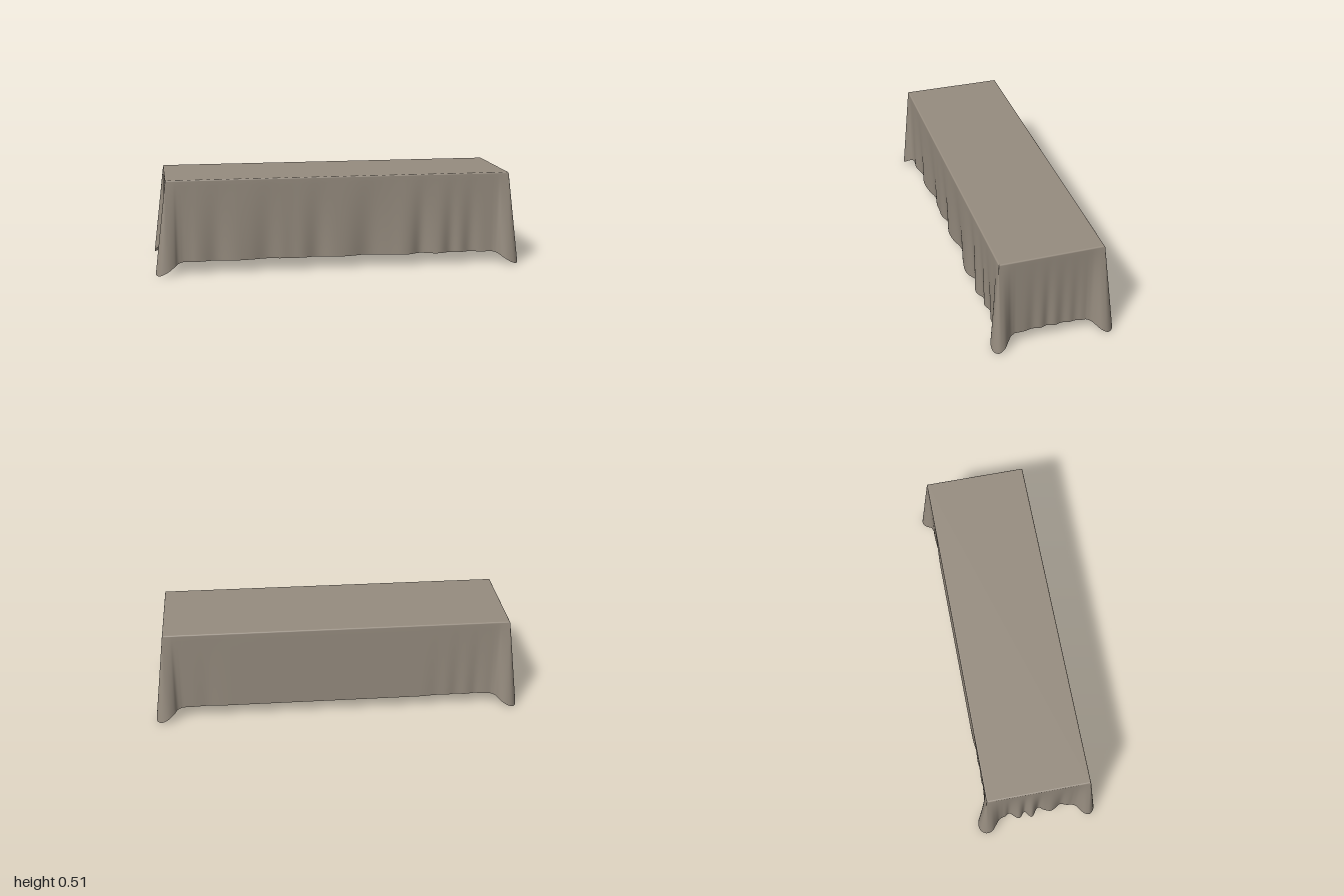
import * as THREE from 'three';

const X = 0.94, ZF = 0.283, ZB = -0.272; // table top edges
const TOP = 0.51, HEM = 0.066, GAP = 0.085, BEVEL = 0.007;

// Hem of one corner drape: outward offsets from the table corner and height
const lobe = new THREE.CatmullRomCurve3([
  [-0.085, HEM, 0], [-0.058, 0.058, 0.01], [-0.04, 0.046, 0.034], [-0.005, 0.022, 0.054],
  [0.035, 0.003, 0.05], [0.059, 0.003, 0.02], [0.056, 0.022, -0.015],
  [0.03, 0.044, -0.042], [0.009, 0.058, -0.062], [0, HEM, -0.085],
].map((p) => new THREE.Vector3(...p)));

// Folds of each side as [centre, width, outward depth at the hem]
const folds = {
  front: [[-0.78, 0.05, 0.006], [-0.68, 0.05, -0.014], [-0.57, 0.05, 0.004], [-0.4, 0.07, -0.022],
    [-0.27, 0.05, -0.008], [-0.13, 0.06, -0.024], [0.15, 0.08, -0.028], [0.35, 0.06, 0.01],
    [0.45, 0.04, -0.024], [0.55, 0.04, 0.007], [0.62, 0.035, -0.018], [0.73, 0.04, -0.02]],
  right: [[0.1, 0.03, -0.01], [0.02, 0.025, -0.014], [-0.06, 0.03, -0.012], [-0.13, 0.025, -0.008]],
  back: [[-0.55, 0.05, -0.008], [-0.66, 0.04, -0.012], [-0.77, 0.04, -0.012], [0.72, 0.05, -0.006]],
  left: [[-0.15, 0.02, -0.014], [-0.1, 0.025, 0.022], [-0.065, 0.016, -0.012], [-0.03, 0.022, 0.028],
    [0.015, 0.02, -0.018], [0.08, 0.03, 0.014], [0.14, 0.025, -0.014]],
};

// Each entry pairs a point on the table edge with its straight hem point and fold push
function hemLoop() {
  const loop = [];
  const side = (list, from, to, count, place) => {
    for (let i = 1; i < count; i++) {
      const s = THREE.MathUtils.lerp(from, to, i / count);
      const push = list.reduce((sum, [c, w, d]) => sum + d * Math.exp(-(((s - c) / w) ** 2)), 0);
      const fade = Math.min(1, i / 6, (count - i) / 6);
      const { x, z, nx, nz } = place(s);
      loop.push({ x, z, hx: x, hz: z, hy: HEM, px: nx * push * fade, pz: nz * push * fade });
    }
  };
  const corner = (sx, sz, reverse) => {
    const cx = sx * X, cz = sz > 0 ? ZF : ZB;
    for (let i = 0; i <= 36; i++) {
      const p = lobe.getPoint(reverse ? 1 - i / 36 : i / 36);
      const outZ = p.z > 0 && sz > 0 ? p.z * 0.78 : p.z;
      const hx = cx + sx * p.x, hz = cz + sz * outZ;
      loop.push({
        x: THREE.MathUtils.clamp(hx, -X, X), z: THREE.MathUtils.clamp(hz, ZB, ZF),
        hx, hz, hy: Math.max(0, p.y), px: 0, pz: 0,
      });
    }
  };
  side(folds.front, -X + GAP, X - GAP, 160, (s) => ({ x: s, z: ZF, nx: 0, nz: 1 }));
  corner(1, 1, false);
  side(folds.right, ZF - GAP, ZB + GAP, 60, (s) => ({ x: X, z: s, nx: 1, nz: 0 }));
  corner(1, -1, true);
  side(folds.back, X - GAP, -X + GAP, 120, (s) => ({ x: s, z: ZB, nx: 0, nz: -1 }));
  corner(-1, -1, false);
  side(folds.left, ZB + GAP, ZF - GAP, 80, (s) => ({ x: -X, z: s, nx: -1, nz: 0 }));
  corner(-1, 1, true);
  return loop;
}

// Loft from the rounded table edge down to the hem
function skirtGeometry() {
  const loop = hemLoop(), n = loop.length, pos = [], index = [];
  const insetX = (X - BEVEL) / X, midZ = (ZF + ZB) / 2, halfZ = (ZF - ZB) / 2;
  const insetZ = (halfZ - BEVEL) / halfZ;
  const bevelRows = 4, dropRows = 18, rows = bevelRows + dropRows;
  for (let r = 0; r <= rows; r++) {
    for (const p of loop) {
      if (r < bevelRows) {
        const a = (r / bevelRows) * Math.PI / 2, k = Math.sin(a);
        pos.push(p.x * THREE.MathUtils.lerp(insetX, 1, k),
          TOP - BEVEL * (1 - Math.cos(a)),
          midZ + (p.z - midZ) * THREE.MathUtils.lerp(insetZ, 1, k));
      } else {
        const t = (r - bevelRows) / dropRows, w = t ** 1.3;
        pos.push(THREE.MathUtils.lerp(p.x, p.hx, t) + p.px * w,
          THREE.MathUtils.lerp(TOP - BEVEL, p.hy, t),
          THREE.MathUtils.lerp(p.z, p.hz, t) + p.pz * w);
      }
    }
  }
  for (let r = 0; r < rows; r++) {
    for (let i = 0; i < n; i++) {
      const j = (i + 1) % n, a = r * n + i, b = r * n + j;
      index.push(a, a + n, b + n, a, b + n, b);
    }
  }
  const g = new THREE.BufferGeometry();
  g.setAttribute('position', new THREE.Float32BufferAttribute(pos, 3));
  g.setIndex(index);
  g.computeVertexNormals();
  return g;
}

export function createModel() {
  const group = new THREE.Group();
  group.name = 'tablecloth';
  const cloth = new THREE.MeshStandardMaterial({ color: 0x968c7f, side: THREE.DoubleSide });

  // Flat top
  const top = new THREE.Mesh(
    new THREE.PlaneGeometry(2 * (X - BEVEL), ZF - ZB - 2 * BEVEL).rotateX(-Math.PI / 2), cloth);
  top.position.set(0, TOP, (ZF + ZB) / 2);
  top.name = 'clothTop';

  // Hanging sides with draped corners
  const skirt = new THREE.Mesh(skirtGeometry(), cloth);
  skirt.name = 'clothSkirt';

  group.add(top, skirt);
  return group;
}
